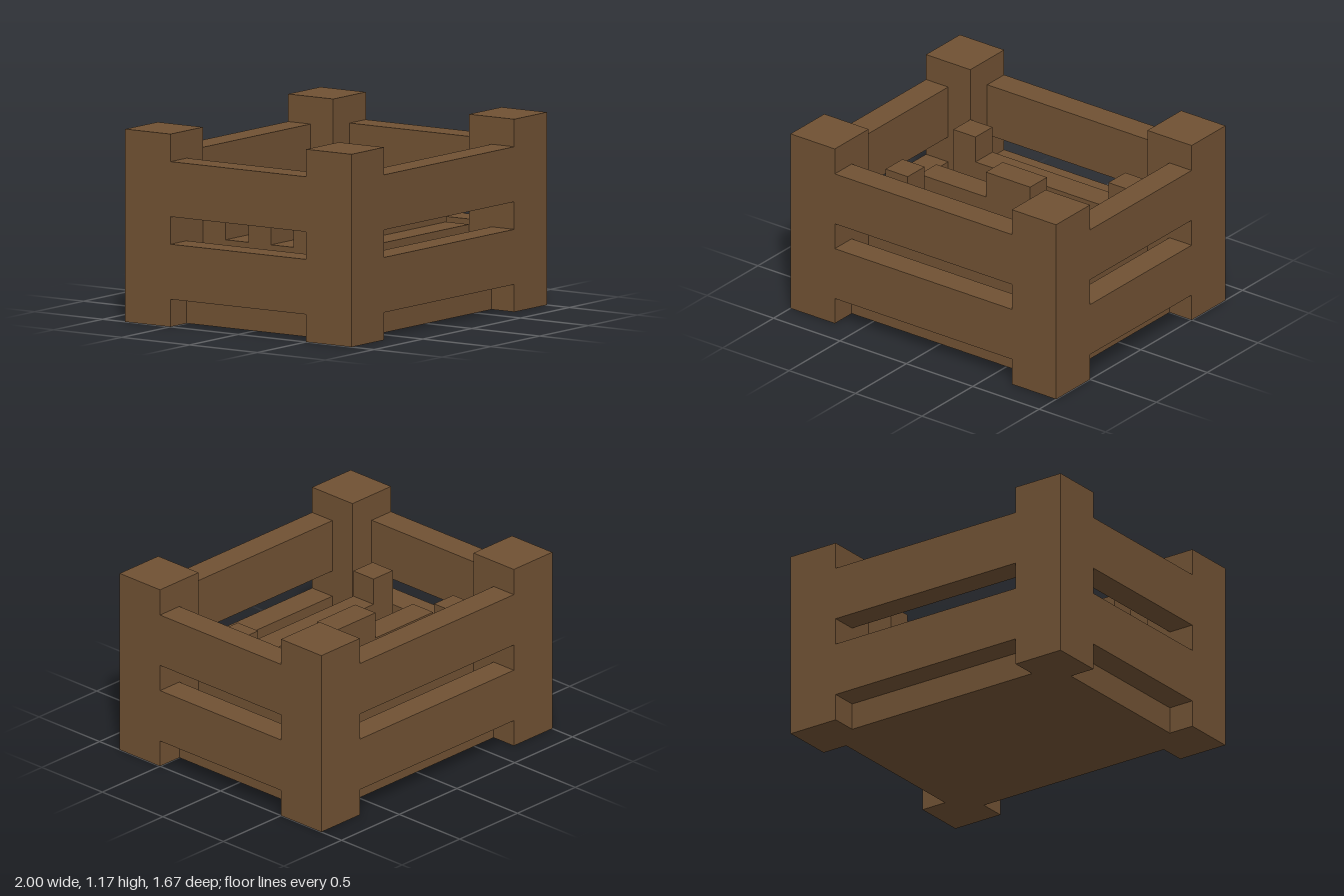
import * as THREE from 'three';

// All sizes are whole steps of one sixth of a unit.
const U = 1 / 6;

export function createModel() {
  const crate = new THREE.Group();
  crate.name = 'crate';
  const wood = new THREE.MeshStandardMaterial({ color: 0x705133 });
  wood.name = 'brown wood';

  // Box given by its lower and upper bounds on each axis
  const box = (name, [x0, x1], [y0, y1], [z0, z1]) => {
    const geo = new THREE.BoxGeometry((x1 - x0) * U, (y1 - y0) * U, (z1 - z0) * U);
    geo.translate((x0 + x1) * U / 2, (y0 + y1) * U / 2, (z0 + z1) * U / 2);
    const mesh = new THREE.Mesh(geo, wood);
    mesh.name = name;
    crate.add(mesh);
  };
  const span = (s, a, b) => (s > 0 ? [a, b] : [-b, -a]);

  // Corner posts
  for (const sx of [-1, 1]) {
    for (const sz of [-1, 1]) box('cornerPost', span(sx, 4, 6), [0, 7], span(sz, 3, 5));
  }

  // Lower and upper rails on all four sides
  for (const s of [-1, 1]) {
    for (const y of [1, 4]) {
      box(s > 0 ? 'frontRail' : 'backRail', [-4, 4], [y, y + 2], span(s, 4, 5));
      box(s > 0 ? 'leftRail' : 'rightRail', span(s, 5, 6), [y, y + 2], [-3, 3]);
    }
  }

  // Floor, notched around the posts
  box('floor', [-5, 5], [0, 1], [-3, 3]);
  for (const s of [-1, 1]) box('floorEdge', [-4, 4], [0, 1], span(s, 3, 4));

  // Stacked filling with three slats on top
  box('filling', [-4, 4], [1, 3], [-3, 3]);
  for (const z of [-3, -1, 1]) box('slat', [-4, 4], [3, 4], [z, z + 1]);

  // Blocks on the slats
  for (const z of [-3, 1]) {
    for (const s of [-1, 1]) box('endBlock', span(s, 3, 4), [4, 5], [z, z + 1]);
  }
  box('middleBlock', [-1, 1], [4, 5], [-1, 0]);

  return crate;
}
